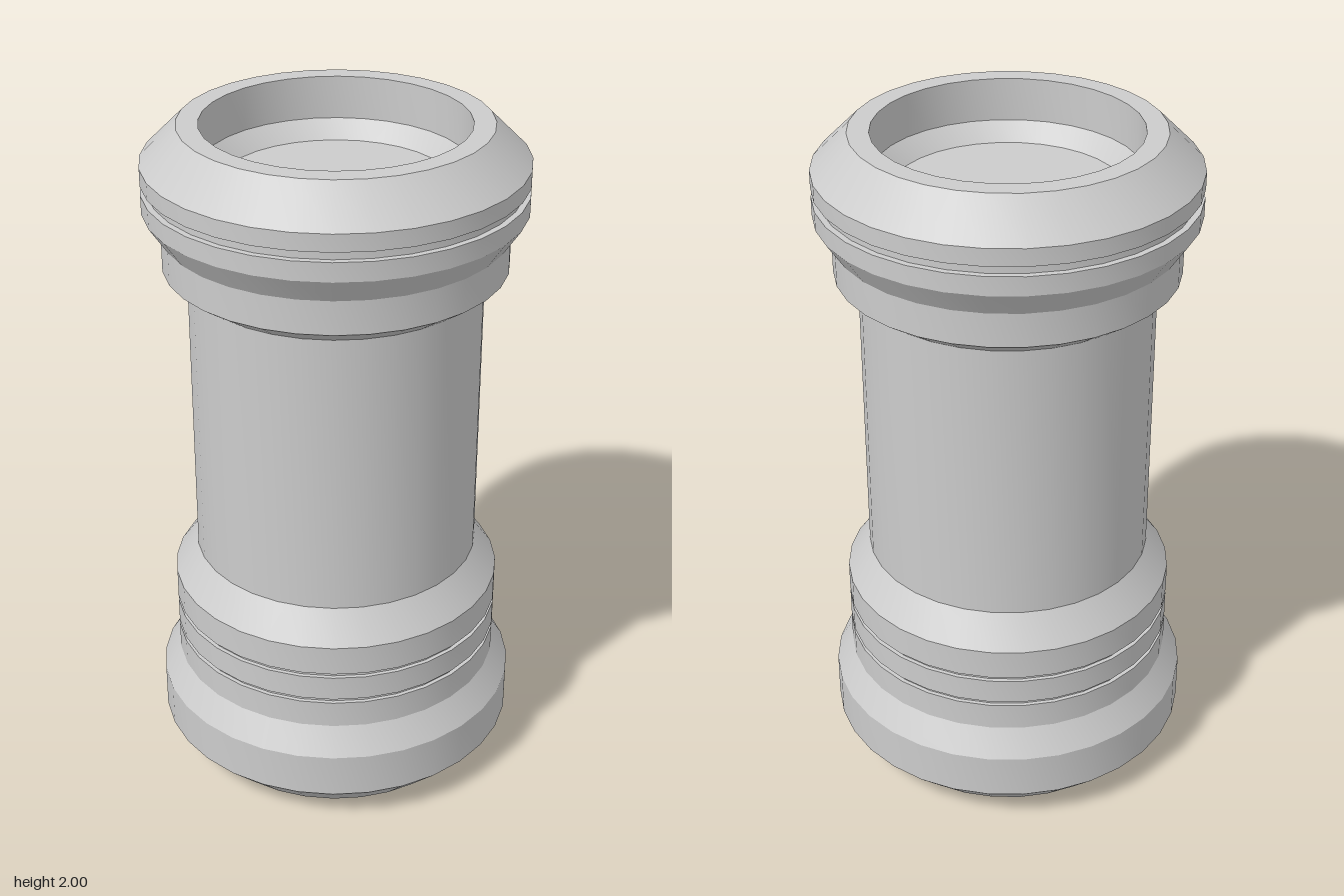
import * as THREE from 'three';
import { toCreasedNormals } from 'three/addons/utils/BufferGeometryUtils.js';

const SIDES = 32;

export function createModel() {
  const group = new THREE.Group();
  const material = new THREE.MeshStandardMaterial({ color: 0xcccccc });

  // Turns a [radius, height] profile, smooth around and sharp at the steps
  function turned(name, profile) {
    const points = profile.map(([r, y]) => new THREE.Vector2(r, y));
    const geometry = toCreasedNormals(new THREE.LatheGeometry(points, SIDES), 0.35);
    const mesh = new THREE.Mesh(geometry, material);
    mesh.name = name;
    group.add(mesh);
  }

  // Hollow socket from floor to rim, given as distance from the open end
  const socket = [[0, 0.175], [0.325, 0.175], [0.375, 0.125], [0.375, 0], [0.436, 0]];

  // A narrow groove cut into a cylindrical wall
  const groove = (r, depth, y0, y1) => [[r, y0], [r - depth, y0], [r - depth, y1], [r, y1]];

  // Lower collar: recessed underside, wide foot, two grooves
  turned('baseCollar', [
    ...socket,
    [0.54, 0.105], [0.54, 0.24], [0.49, 0.32],
    ...groove(0.49, 0.012, 0.403, 0.417),
    ...groove(0.49, 0.012, 0.493, 0.507),
    [0.49, 0.597], [0.422, 0.69],
  ]);

  // Plain cylindrical shaft
  turned('shaft', [[0.422, 0.69], [0.422, 1.545]]);

  // Upper collar: stepped flare, one groove, recessed top
  turned('topCollar', [
    [0.422, 1.545], [0.49, 1.592], [0.49, 1.69], [0.54, 1.765],
    ...groove(0.54, 0.018, 1.82, 1.847),
    [0.54, 1.897],
    ...socket.map(([r, d]) => [r, 2 - d]).reverse(),
  ]);

  return group;
}
